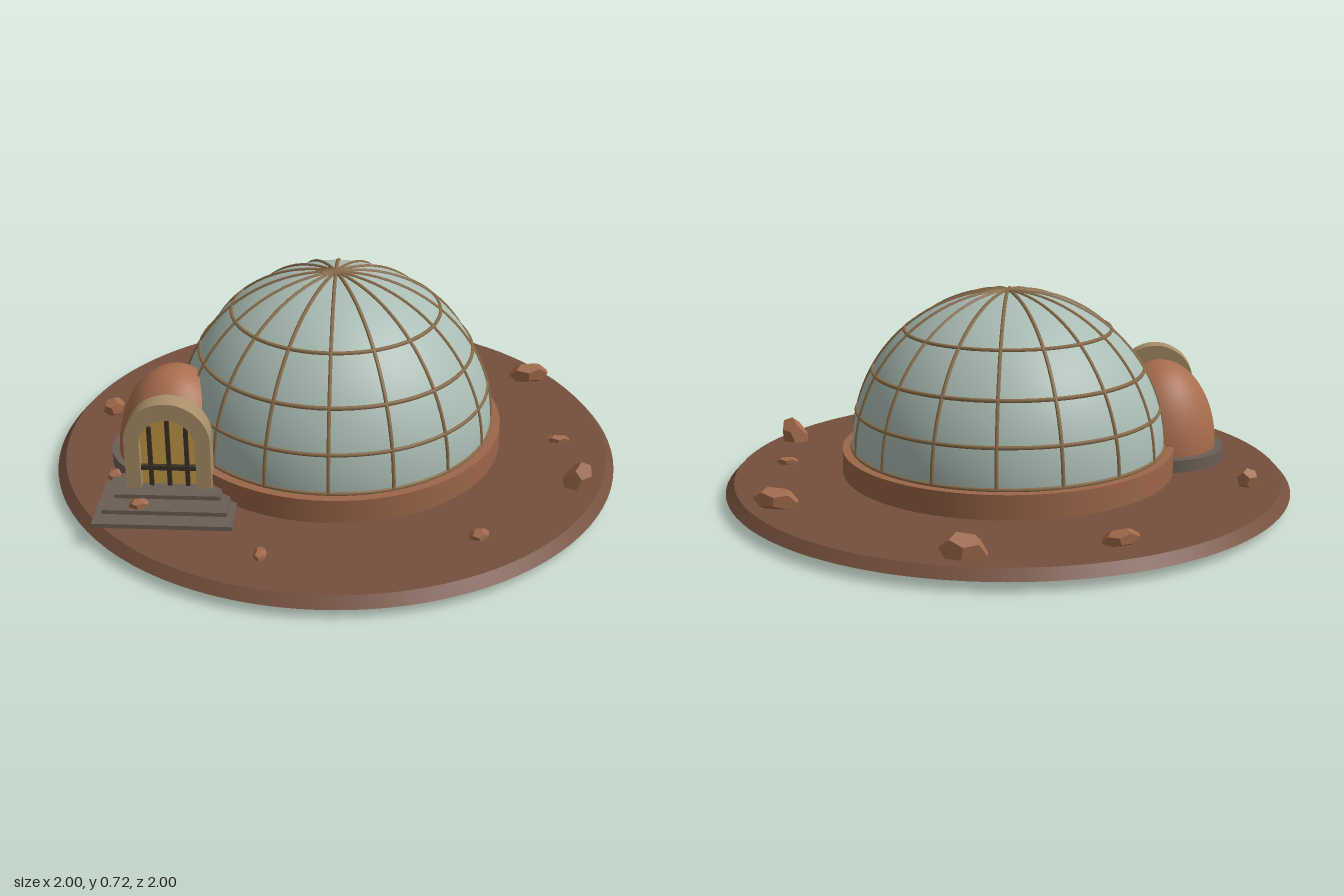
import * as THREE from 'three';

const mat = (color, extra = {}) => {
  const m = new THREE.MeshStandardMaterial({ color });
  return Object.assign(m, extra);
};
const MAT = {
  soil: mat(0x754f3e),
  clay: mat(0x9c6649),
  hut: mat(0xa96d4d),
  glass: mat(0xa9bcb3, { side: THREE.DoubleSide }),
  rib: mat(0x8a6d4a),
  stone: mat(0x6b5f55),
  trim: mat(0xa98f68),
  pane: mat(0xc79a48),
  bar: mat(0x3c3026),
  rock: mat(0xa26a4b, { flatShading: true }),
};

const DOME_R = 0.555, DOME_Y = 0.16;
const DOOR_X = -0.537;

function add(parent, name, geometry, material, x = 0, y = 0, z = 0) {
  const mesh = new THREE.Mesh(geometry, material);
  mesh.name = name;
  mesh.position.set(x, y, z);
  parent.add(mesh);
  return mesh;
}

// Round-topped outline standing on y = 0
function arch(halfWidth, spring, PathType = THREE.Shape) {
  const p = new PathType();
  p.moveTo(-halfWidth, 0);
  p.lineTo(halfWidth, 0);
  p.lineTo(halfWidth, spring);
  p.absarc(0, spring, halfWidth, 0, Math.PI, false);
  p.lineTo(-halfWidth, 0);
  return p;
}

const extrude = (shape, depth) =>
  new THREE.ExtrudeGeometry(shape, { depth, bevelEnabled: false, curveSegments: 20 });

function buildDome() {
  const dome = new THREE.Group();
  dome.name = 'dome';
  add(dome, 'baseRing', new THREE.CylinderGeometry(0.59, 0.59, 0.085, 72), MAT.clay, 0, 0.1175, 0);
  add(dome, 'glass', new THREE.SphereGeometry(DOME_R, 64, 24, 0, Math.PI * 2, 0, Math.PI / 2),
    MAT.glass, 0, DOME_Y, 0);

  // Eight half hoops make sixteen meridian ribs
  const hoop = new THREE.TorusGeometry(DOME_R, 0.007, 6, 48, Math.PI);
  for (let i = 0; i < 8; i++) {
    add(dome, 'meridianRib', hoop, MAT.rib, 0, DOME_Y, 0).rotation.y = i * Math.PI / 8;
  }
  // Level hoops
  for (const y of [0.005, 0.14, 0.28, 0.42]) {
    const r = Math.sqrt(DOME_R ** 2 - y ** 2);
    add(dome, 'levelRib', new THREE.TorusGeometry(r, 0.007, 6, 72), MAT.rib, 0, DOME_Y + y, 0)
      .rotation.x = Math.PI / 2;
  }
  return dome;
}

function buildEntrance() {
  const entrance = new THREE.Group();
  entrance.name = 'entrance';

  // Domed porch on a stone footing
  add(entrance, 'footing', new THREE.CylinderGeometry(0.23, 0.23, 0.045, 48), MAT.stone, -0.55, 0.0975, 0.175);
  add(entrance, 'porch', new THREE.SphereGeometry(1, 40, 20, 0, Math.PI * 2, 0, Math.PI / 2),
    MAT.hut, -0.547, 0.115, 0.185).scale.set(0.205, 0.315, 0.207);

  // Arched doorway
  const frame = arch(0.143, 0.175);
  frame.holes.push(arch(0.093, 0.165, THREE.Path));
  add(entrance, 'doorFrame', extrude(frame, 0.07), MAT.trim, DOOR_X, 0.118, 0.4);
  add(entrance, 'doorPane', extrude(arch(0.095, 0.165), 0.025), MAT.pane, DOOR_X, 0.118, 0.415);
  for (const dx of [-0.061, 0, 0.061]) {
    const h = dx ? 0.22 : 0.25;
    add(entrance, 'doorBar', new THREE.BoxGeometry(0.014, h, 0.014), MAT.bar, DOOR_X + dx, 0.118 + h / 2, 0.446);
  }
  add(entrance, 'doorCrossbar', new THREE.BoxGeometry(0.186, 0.016, 0.016), MAT.bar, DOOR_X, 0.187, 0.447);

  // Steps, widest at the bottom
  [[0.46, 0.65], [0.413, 0.59], [0.355, 0.515]].forEach(([width, front], i) => {
    add(entrance, 'step', new THREE.BoxGeometry(width, 0.015, front - 0.38), MAT.stone,
      DOOR_X, 0.0815 + i * 0.0148, (front + 0.38) / 2);
  });
  return entrance;
}

function buildRocks() {
  const rocks = new THREE.Group();
  rocks.name = 'rocks';
  // x, y, z, width, height, depth, tilt
  const list = [
    [0.075, 0.085, -0.885, 0.15, 0.11, 0.075, 0.15],
    [-0.395, 0.085, -0.75, 0.12, 0.055, 0.07, -0.2],
    [0.735, 0.095, -0.485, 0.15, 0.08, 0.07, 0.1],
    [-0.84, 0.088, -0.145, 0.08, 0.075, 0.07, 0.3],
    [0.805, 0.075, 0, 0.08, 0.03, 0.04, 0],
    [0.84, 0.078, 0.3, 0.095, 0.156, 0.07, -0.35],
    [0.49, 0.075, 0.635, 0.065, 0.03, 0.06, 0.2],
    [-0.205, 0.078, 0.78, 0.042, 0.03, 0.07, 0],
    [-0.625, 0.112, 0.56, 0.065, 0.035, 0.05, 0.1],
    [-0.75, 0.075, 0.32, 0.05, 0.04, 0.06, 0.2],
  ];
  const geometry = new THREE.DodecahedronGeometry(0.53);
  for (const [x, y, z, w, h, d, tilt] of list) {
    const rock = add(rocks, 'rock', geometry, MAT.rock, x, y, z);
    rock.scale.set(w, h, d);
    rock.rotation.z = tilt;
  }
  return rocks;
}

export function createModel() {
  const model = new THREE.Group();
  model.name = 'domeHouse';
  add(model, 'ground', new THREE.CylinderGeometry(0.97, 1, 0.033, 96), MAT.soil, 0, 0.0485, 0);
  model.add(buildDome(), buildEntrance(), buildRocks());
  return model;
}
